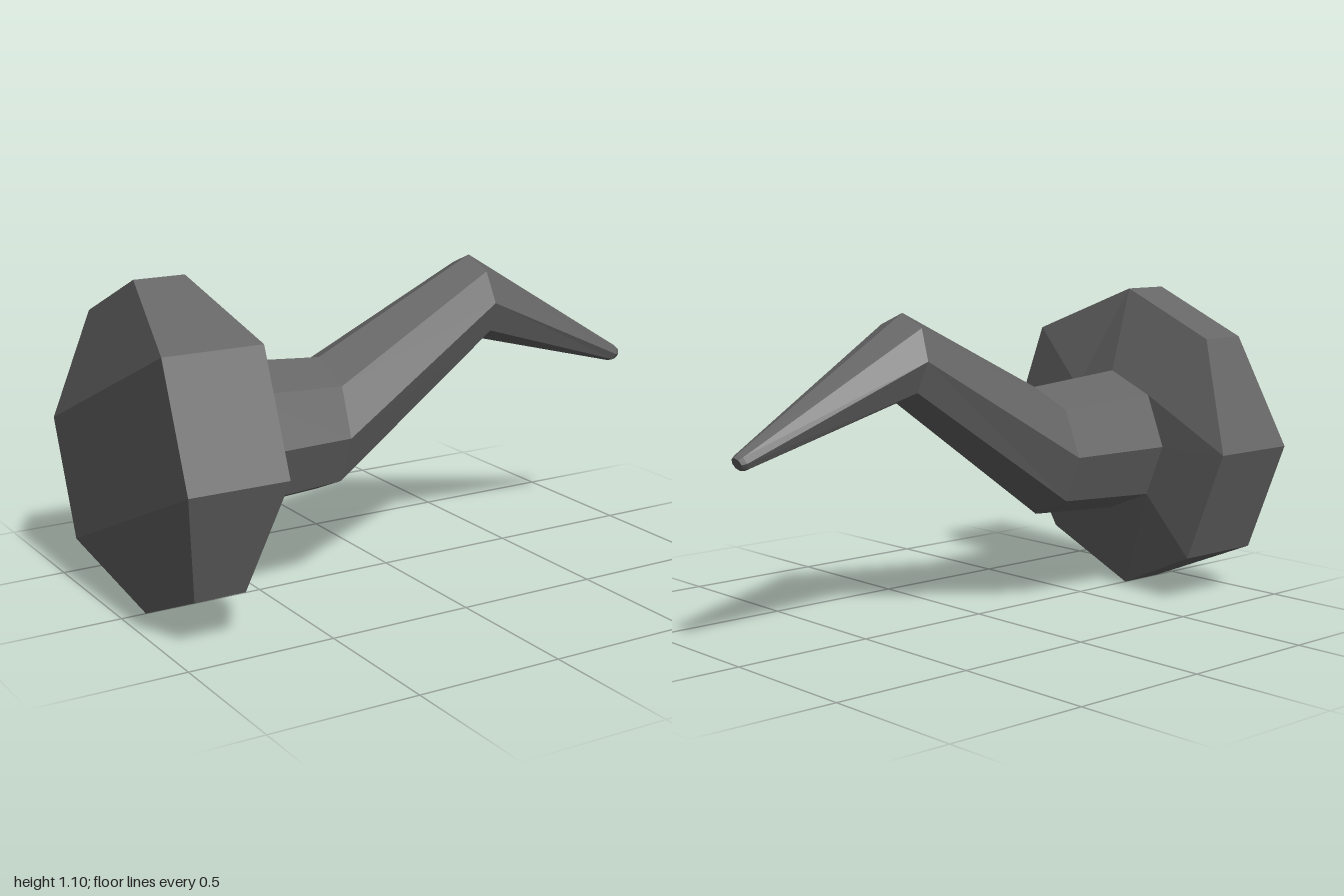
import * as THREE from 'three';

const SIDES = 8;
const MID_Y = 0.555;

// Flat-shaded skin over a list of eight-point rings ordered along +x.
function loft(name, rings, backCap, frontCap) {
  const tris = [];
  for (let k = 0; k < rings.length - 1; k++) {
    for (let i = 0; i < SIDES; i++) {
      const j = (i + 1) % SIDES;
      const a = rings[k][i], b = rings[k][j], c = rings[k + 1][j], d = rings[k + 1][i];
      tris.push(a, b, c, a, c, d);
    }
  }
  const first = rings[0], last = rings[rings.length - 1];
  for (const [a, b, c] of backCap) tris.push(first[a], first[c], first[b]);
  for (const [a, b, c] of frontCap) tris.push(last[a], last[b], last[c]);
  const geometry = new THREE.BufferGeometry().setFromPoints(tris);
  geometry.computeVertexNormals();
  const mesh = new THREE.Mesh(
    geometry,
    new THREE.MeshStandardMaterial({ color: 0x666666, flatShading: true })
  );
  mesh.name = name;
  return mesh;
}

// Octagonal ring given its top and bottom points in the xy plane and its z radius.
function ring(top, bottom, rz) {
  return Array.from({ length: SIDES }, (_, i) => {
    const a = (i * Math.PI) / 4;
    const t = (1 + Math.cos(a)) / 2;
    return new THREE.Vector3(
      THREE.MathUtils.lerp(bottom[0], top[0], t),
      THREE.MathUtils.lerp(bottom[1], top[1], t),
      rz * Math.sin(a)
    );
  });
}

// Rim of the base: pairs of corners alternate between a thin and a thick edge.
function rim(thinX, thickX) {
  const points = ring([0, MID_Y + 0.55], [0, MID_Y - 0.55], 0.53);
  points.forEach((p, i) => { p.x = i % 4 === 0 || i % 4 === 3 ? thinX : thickX; });
  return points;
}

export function createModel() {
  const model = new THREE.Group();
  model.name = 'hookedHorn';

  const fan = Array.from({ length: SIDES - 2 }, (_, i) => [0, i + 1, i + 2]);

  // Base: faceted disc, its back a flat strip with two bevelled sides
  const backFacets = [[1, 2, 5], [1, 5, 6], [6, 7, 0], [6, 0, 1], [2, 3, 4], [2, 4, 5]];
  const neck = ring([-0.655, 0.81], [-0.655, 0.3], 0.253);
  model.add(loft('base', [rim(-0.915, -0.997), rim(-0.74, -0.66), neck], backFacets, fan));

  // Horn: bent, tapering shaft with a blunt tip
  model.add(loft('horn', [
    neck,
    ring([-0.262, 0.78], [-0.272, 0.325], 0.22),
    ring([0.335, 1.07], [0.363, 0.775], 0.147),
    ring([0.987, 0.673], [0.963, 0.617], 0.034),
    ring([1.0, 0.662], [0.98, 0.62], 0.026),
  ], [], fan));

  return model;
}
